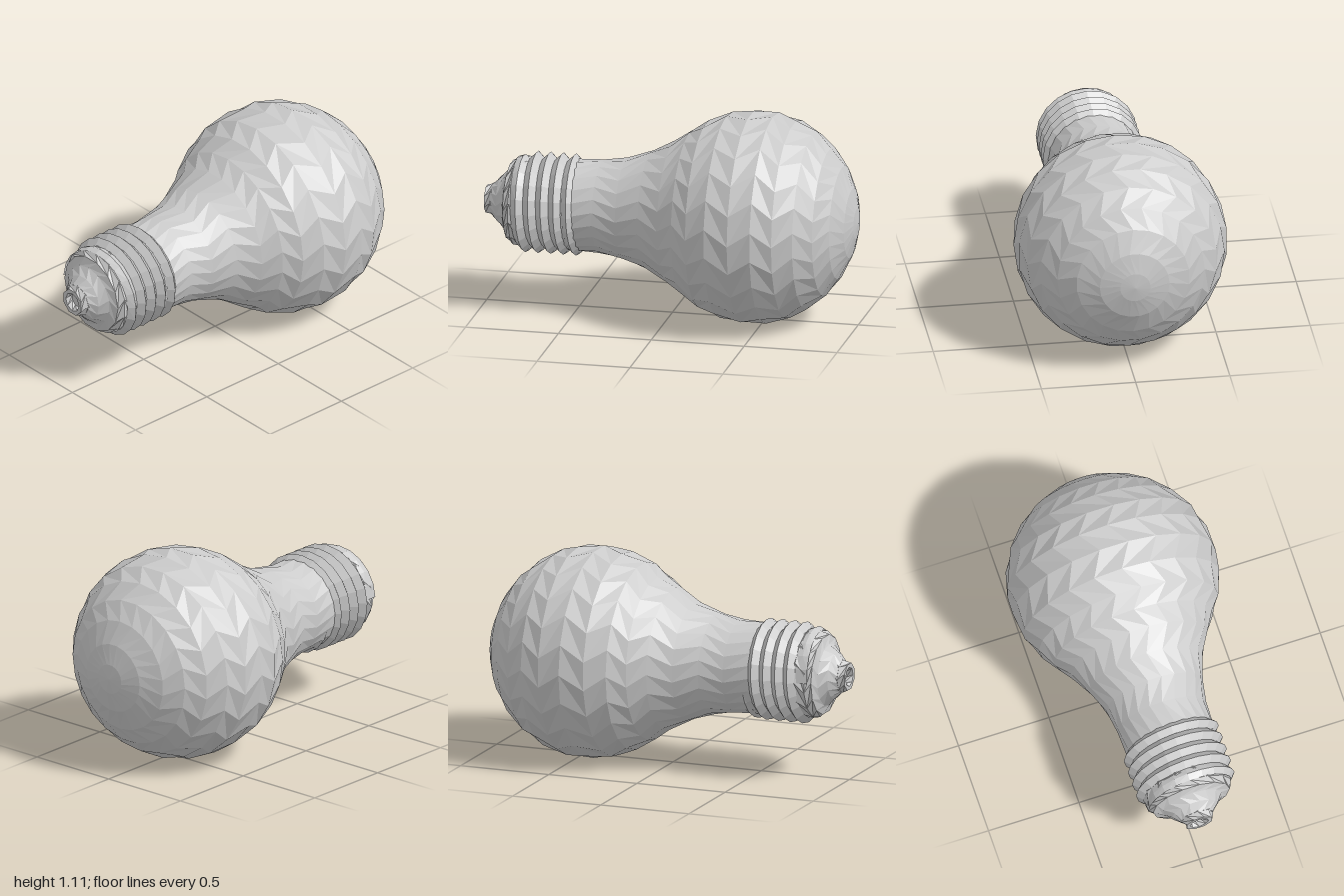
import * as THREE from 'three';

const AXIS_Y = 0.562;
const material = new THREE.MeshStandardMaterial({ color: 0xcccccc, flatShading: true, side: THREE.DoubleSide });

// Joins rows of points into a faceted skin; alternate diagonals give a triangulated look.
function skin(name, rows, segs, pointAt) {
  const positions = [], index = [];
  for (let r = 0; r < rows; r++) {
    for (let s = 0; s <= segs; s++) positions.push(...pointAt(r, s));
  }
  for (let r = 0; r < rows - 1; r++) {
    for (let s = 0; s < segs; s++) {
      const a = r * (segs + 1) + s, b = a + 1, c = a + segs + 1, d = c + 1;
      if (r % 2) index.push(a, b, c, b, d, c);
      else index.push(a, b, d, a, d, c);
    }
  }
  const geometry = new THREE.BufferGeometry();
  geometry.setAttribute('position', new THREE.Float32BufferAttribute(positions, 3));
  geometry.setIndex(index);
  geometry.computeVertexNormals();
  const mesh = new THREE.Mesh(geometry, material);
  mesh.name = name;
  return mesh;
}

// Surface of revolution about the x axis, each row turned half a step from the last.
function turned(name, profile, segs) {
  return skin(name, profile.length, segs, (r, s) => {
    const [x, radius] = profile[r];
    const a = ((s + (r % 2) / 2) / segs) * Math.PI * 2;
    return [x, radius * Math.cos(a), radius * Math.sin(a)];
  });
}

// Helical ridge winding from the top towards the front
function screwThread() {
  const segs = 20, turns = 5, pitch = 0.068, startX = -0.855, startAngle = -Math.PI / 2;
  const valley = 0.234, height = 0.034;
  return skin('screwThread', turns * 2 + 1, segs, (r, s) => {
    const t = r / 2 + s / segs;
    const fade = Math.min(1, Math.max(0, t - 0.55) * 2, Math.max(0, turns + 0.5 - t) * 4);
    const radius = valley + (r % 2 ? height * fade : 0);
    const a = startAngle + (s / segs) * Math.PI * 2;
    return [startX + t * pitch, radius * Math.cos(a), radius * Math.sin(a)];
  });
}

export function createModel() {
  const bulb = new THREE.Group();
  bulb.name = 'lightBulb';

  // Glass envelope: straight neck flaring into a round globe
  bulb.add(turned('glass', [
    [-0.6, 0.225], [-0.53, 0.243], [-0.38, 0.246], [-0.25, 0.268], [-0.12, 0.312],
    [0, 0.375], [0.09, 0.437], [0.18, 0.496], [0.29, 0.542], [0.42, 0.562],
    [0.54, 0.556], [0.65, 0.524], [0.75, 0.468], [0.84, 0.392], [0.91, 0.3],
    [0.965, 0.185], [0.992, 0.08], [1, 0],
  ], 22));

  bulb.add(screwThread());

  // Rounded shoulder closing the base
  bulb.add(turned('baseShoulder', [
    [-0.965, 0.085], [-0.925, 0.125], [-0.885, 0.165], [-0.868, 0.212],
    [-0.835, 0.234], [-0.78, 0.24], [-0.74, 0.228],
  ], 14));

  // End contact with a small recess
  bulb.add(turned('contactTip', [
    [-0.965, 0], [-0.965, 0.042], [-1, 0.052], [-1, 0.075], [-0.965, 0.088], [-0.94, 0.1],
  ], 8));

  bulb.position.y = AXIS_Y;
  const model = new THREE.Group();
  model.name = 'model';
  model.add(bulb);
  return model;
}
